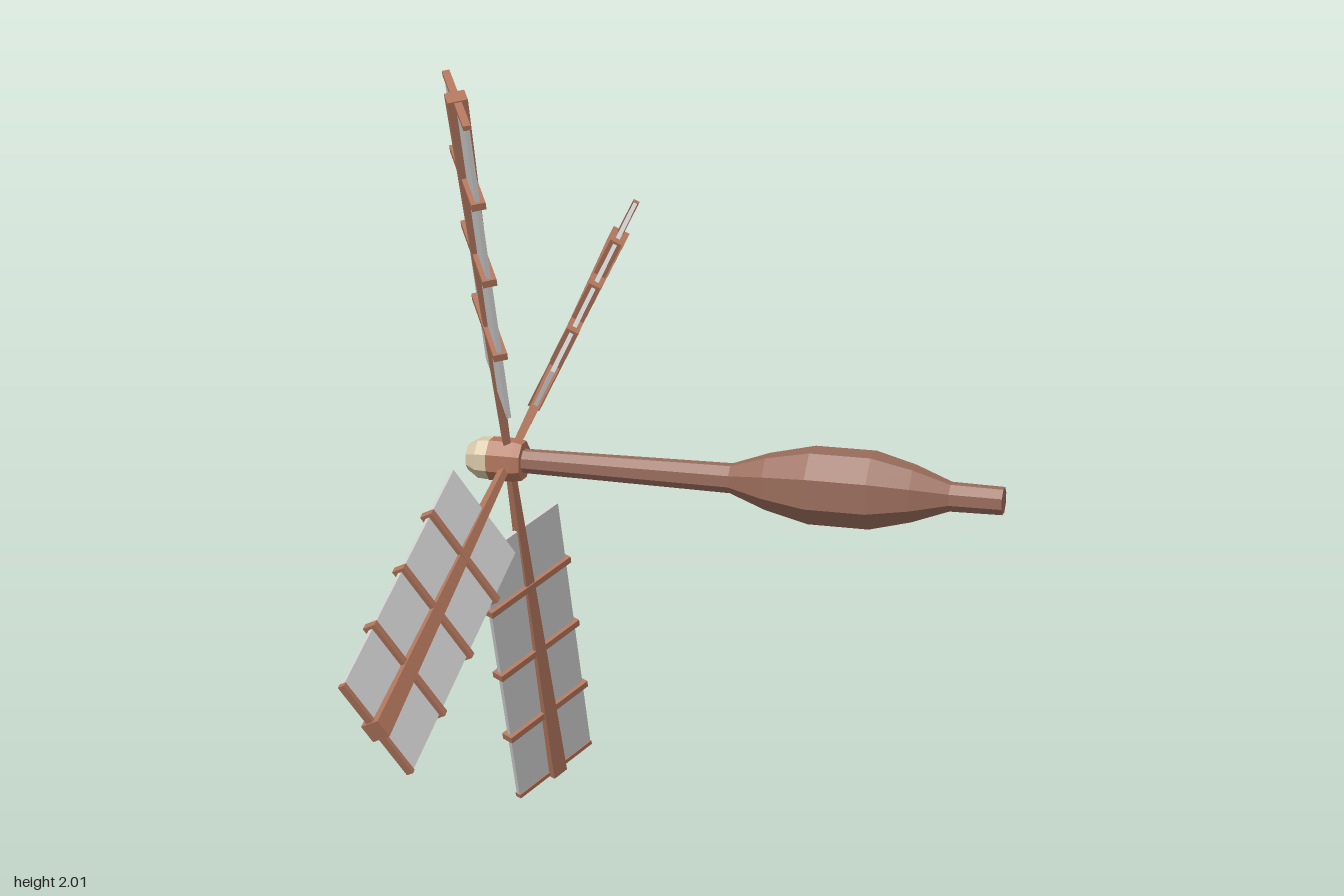
import * as THREE from 'three';

export function createModel() {
  const paint = (name, color) => {
    const m = new THREE.MeshStandardMaterial({ color, flatShading: true });
    m.name = name;
    return m;
  };
  const sailWood = paint('sail wood', 0xb0755c);
  const shaftWood = paint('shaft wood', 0x986b5a);
  const cloth = paint('sail cloth', 0xcfcfcf);
  const capPaint = paint('hub cap cream', 0xd6c6a6);

  const model = new THREE.Group();
  model.name = 'windmillRotor';

  // Rotor frame: local +z is the forward end of the axle
  const rotor = new THREE.Group();
  rotor.name = 'rotor';
  rotor.position.set(-0.243, 1, -0.028);
  rotor.rotation.y = THREE.MathUtils.degToRad(-59);
  model.add(rotor);

  const add = (parent, name, geometry, material, x = 0, y = 0, z = 0) => {
    const mesh = new THREE.Mesh(geometry, material);
    mesh.name = name;
    mesh.position.set(x, y, z);
    parent.add(mesh);
    return mesh;
  };

  // Eight-sided turned parts, profile points are [radius, forward distance]
  const turned = (name, profile, material) => {
    const points = profile.map(([r, z]) => new THREE.Vector2(r, z));
    const geometry = new THREE.LatheGeometry(points, 8, Math.PI / 8);
    geometry.rotateX(Math.PI / 2);
    add(rotor, name, geometry, material);
  };

  turned('axle', [
    [0, -1.237], [0.034, -1.237], [0.036, -1.11], [0.07, -1.02], [0.096, -0.92],
    [0.096, -0.77], [0.07, -0.66], [0.037, -0.57], [0.03, 0], [0, 0],
  ], shaftWood);
  turned('hubCollar', [[0, -0.04], [0.05, -0.04], [0.055, -0.02], [0.055, 0.045], [0, 0.045]], sailWood);
  turned('hubCap', [[0, 0.045], [0.054, 0.045], [0.052, 0.075], [0.034, 0.103], [0, 0.106]], capPaint);

  // Four pitched sails
  const sparGeometry = new THREE.CylinderGeometry(0.034, 0.012, 1.03, 4);
  sparGeometry.rotateY(Math.PI / 4);
  const panelGeometry = new THREE.BoxGeometry(0.272, 0.812, 0.011);
  const battenGeometry = new THREE.BoxGeometry(0.288, 0.018, 0.034);
  const tipGeometry = new THREE.BoxGeometry(0.274, 0.012, 0.018);

  for (let i = 0; i < 4; i++) {
    const arm = new THREE.Group();
    arm.name = 'sailArm';
    arm.rotation.z = THREE.MathUtils.degToRad(-21.2 - 90 * i);
    rotor.add(arm);

    const sail = new THREE.Group();
    sail.name = 'sail';
    sail.rotation.y = THREE.MathUtils.degToRad(28);
    arm.add(sail);

    add(sail, 'spar', sparGeometry, sailWood, 0, 0.52, 0);
    add(sail, 'sailPanel', panelGeometry, cloth, 0, 0.624, 0);
    for (const r of [0.4, 0.61, 0.82]) add(sail, 'batten', battenGeometry, sailWood, 0, r, 0);
    add(sail, 'tipBar', tipGeometry, sailWood, 0, 1.026, 0);
  }
  return model;
}
